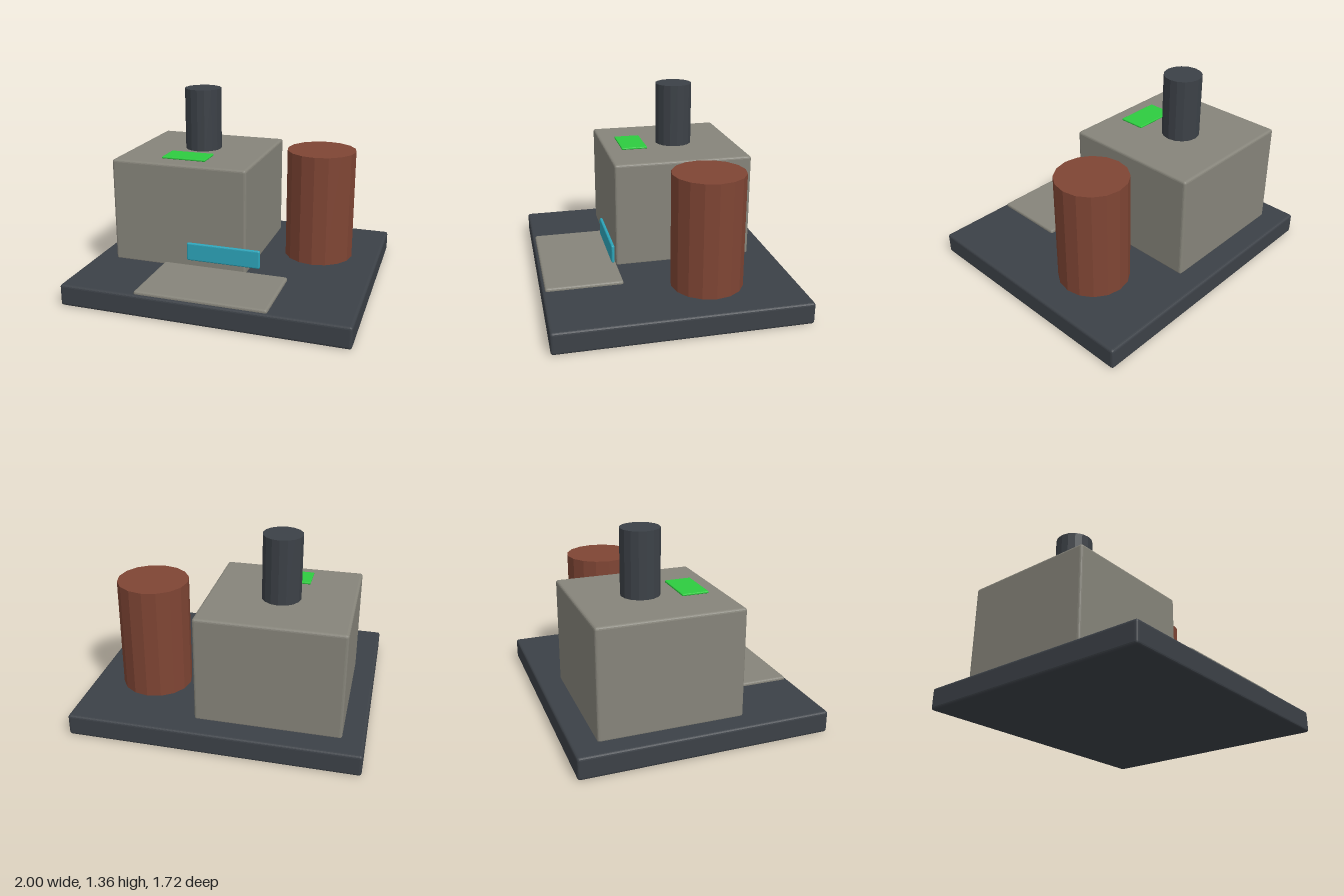
import * as THREE from 'three';
import { RoundedBoxGeometry } from 'three/addons/geometries/RoundedBoxGeometry.js';

export function createModel() {
  const model = new THREE.Group();
  const material = (name, color, flatShading = false) => {
    const m = new THREE.MeshStandardMaterial({ color, flatShading });
    m.name = name;
    return m;
  };
  const slate = material('slate', 0x3c4147, true);
  const concrete = material('concrete', 0x86847a, true);
  const rust = material('rust', 0x7f4534, true);
  const green = material('green', 0x2ecc40, true);
  const cyan = material('cyan', 0x2ca5ba, true);

  const add = (name, geometry, mat, x, y, z) => {
    const mesh = new THREE.Mesh(geometry, mat);
    mesh.name = name;
    mesh.position.set(x, y, z);
    model.add(mesh);
  };
  // Softly bevelled box given by its extents on each axis
  const block = (name, mat, [x0, x1], [y0, y1], [z0, z1], bevel) =>
    add(name, new RoundedBoxGeometry(x1 - x0, y1 - y0, z1 - z0, 2, bevel), mat,
      (x0 + x1) / 2, (y0 + y1) / 2, (z0 + z1) / 2);
  // Faceted upright cylinder
  const column = (name, mat, radius, x, z, y0, y1) =>
    add(name, new THREE.CylinderGeometry(radius, radius, y1 - y0, 16), mat, x, (y0 + y1) / 2, z);

  // Foundation and main building
  block('base', slate, [-1, 1], [0, 0.153], [-0.862, 0.862], 0.018);
  block('building', concrete, [-0.85, 0.15], [0.14, 0.905], [-0.692, 0.305], 0.018);

  // Chimney on the roof and storage tank beside the building
  column('chimney', slate, 0.135, -0.35, -0.235, 0.89, 1.36);
  column('tank', rust, 0.25, 0.555, -0.25, 0.14, 0.953);

  // Loading apron, hanging sign and roof panel
  block('apron', concrete, [-0.46, 0.457], [0.13, 0.174], [0.307, 0.842], 0.015);
  block('sign', cyan, [-0.27, 0.267], [0.225, 0.357], [0.334, 0.358], 0.011);
  block('roofPanel', green, [-0.512, -0.186], [0.91, 0.925], [0, 0.19], 0.006);

  return model;
}
